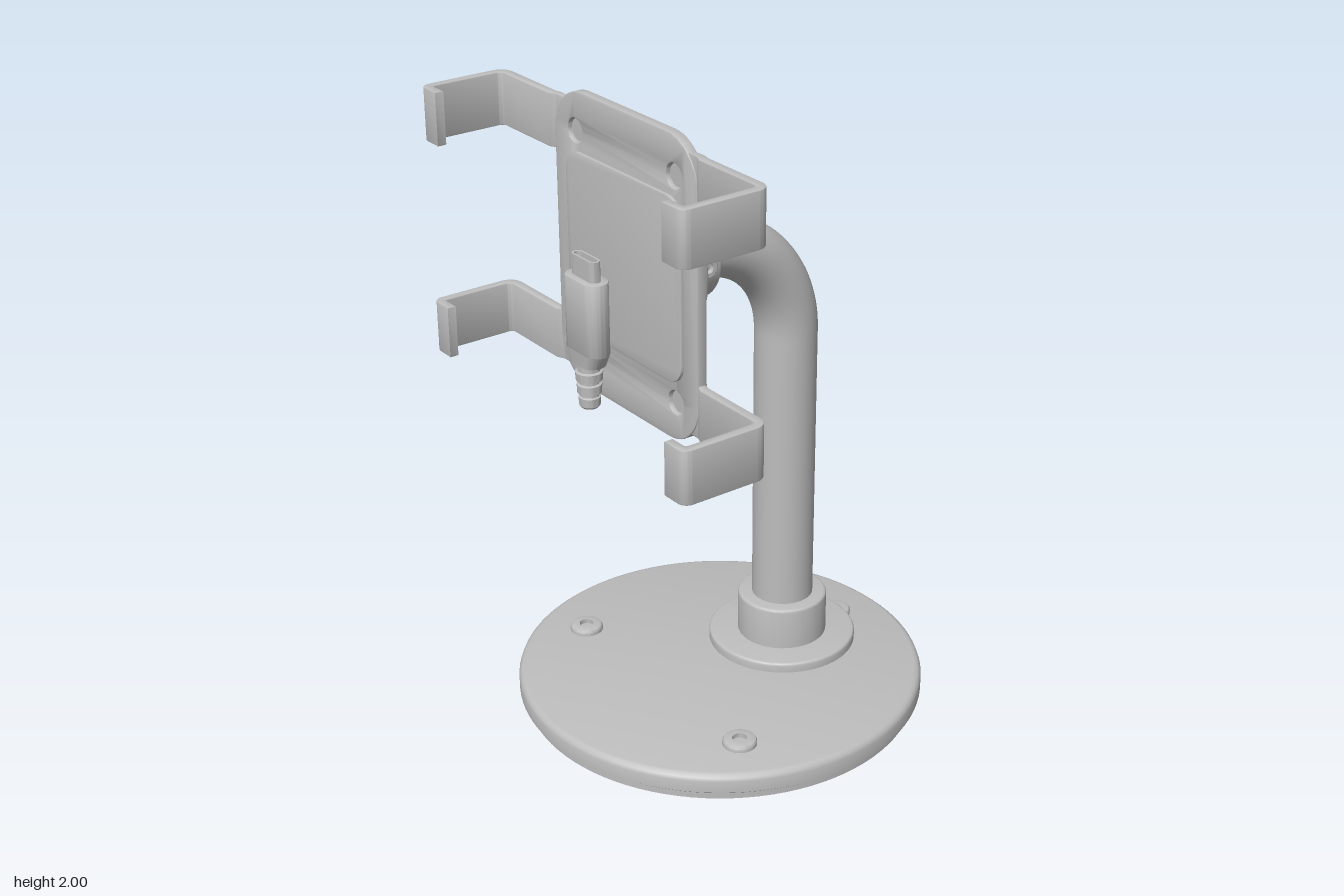
import * as THREE from 'three';
import { toCreasedNormals } from 'three/addons/utils/BufferGeometryUtils.js';

const grey = new THREE.MeshStandardMaterial({ color: 0xbdbdbd });
grey.name = 'satin grey';

const HEAD_Y = 1.54;   // height of the holder axis
const POLE_Z = -0.253; // pole stands behind the base centre

function part(name, geometry, parent, x = 0, y = 0, z = 0) {
  const mesh = new THREE.Mesh(toCreasedNormals(geometry, 0.55), grey);
  mesh.name = name;
  mesh.position.set(x, y, z);
  parent.add(mesh);
  return mesh;
}

// Turned solid from [radius, height] pairs, bottom to top
function turned(points, sides = 64) {
  return new THREE.LatheGeometry(points.map(([r, h]) => new THREE.Vector2(r, h)), sides);
}

// Disc with a rounded upper edge
function disc(r, h, e = 0.01, sides = 64) {
  const pts = [[0, 0], [r, 0]];
  for (let i = 0; i <= 4; i++) {
    const a = (i / 4) * Math.PI / 2;
    pts.push([r - e + e * Math.cos(a), h - e + e * Math.sin(a)]);
  }
  pts.push([0, h]);
  return turned(pts, sides);
}

// Screw head with a socket in its top
function screwHead(r, h) {
  return turned([[0, 0], [r, 0], [r, h * 0.55], [r * 0.93, h * 0.85], [r * 0.8, h],
    [r * 0.43, h], [r * 0.43, h * 0.3], [0, h * 0.3]], 32);
}

// Closed outline from [x, y, cornerRadius] points
function outline(points) {
  const shape = new THREE.Shape();
  const n = points.length;
  const toward = (p, q, d) => {
    const t = d / Math.hypot(q[0] - p[0], q[1] - p[1]);
    return [p[0] + (q[0] - p[0]) * t, p[1] + (q[1] - p[1]) * t];
  };
  points.forEach((p, i) => {
    const r = p[2] || 0;
    const a = r ? toward(p, points[(i + n - 1) % n], r) : p;
    if (i === 0) shape.moveTo(a[0], a[1]); else shape.lineTo(a[0], a[1]);
    if (r) {
      const b = toward(p, points[(i + 1) % n], r);
      // cubic close to a circular fillet
      const c1 = toward(a, p, r * 0.552), c2 = toward(b, p, r * 0.552);
      shape.bezierCurveTo(c1[0], c1[1], c2[0], c2[1], b[0], b[1]);
    }
  });
  shape.closePath();
  return shape;
}

function roundedRect(w, h, r) {
  return outline([[-w, -h, r], [w, -h, r], [w, h, r], [-w, h, r]]);
}

function extrude(shape, depth, bevel = 0) {
  const g = new THREE.ExtrudeGeometry(shape, {
    depth: depth - 2 * bevel, bevelEnabled: bevel > 0, bevelThickness: bevel,
    bevelSize: bevel, bevelOffset: -bevel, bevelSegments: 2, curveSegments: 12,
  });
  return g.translate(0, 0, bevel);
}

function buildBase(root) {
  const base = new THREE.Group();
  base.name = 'base';
  root.add(base);
  part('footPad', new THREE.CylinderGeometry(0.625, 0.625, 0.03, 96).translate(0, 0.015, 0), base);
  part('baseDisc', turned([[0, 0], [0.635, 0], [0.645, 0.008], [0.645, 0.046], [0.641, 0.057],
    [0.633, 0.064], [0.622, 0.067], [0, 0.067]], 96), base, 0, 0.027, 0);
  for (let i = 0; i < 3; i++) {
    const a = i * Math.PI * 2 / 3;
    part('baseScrew', screwHead(0.053, 0.021), base, Math.sin(a) * 0.477, 0.093, -Math.cos(a) * 0.477);
  }
  part('poleFlange', disc(0.237, 0.033), base, 0, 0.093, POLE_Z);
  part('poleCollar', disc(0.143, 0.145), base, 0, 0.12, POLE_Z);
}

function buildPole(root) {
  // Upright, quarter bend, short run forward
  const path = new THREE.CurvePath();
  const v = (y, z) => new THREE.Vector3(0, y, z);
  const bend = 0.35, k = bend * 0.5523, y0 = HEAD_Y - bend, z1 = POLE_Z + bend;
  path.add(new THREE.LineCurve3(v(0.15, POLE_Z), v(y0, POLE_Z)));
  path.add(new THREE.CubicBezierCurve3(v(y0, POLE_Z), v(y0 + k, POLE_Z), v(HEAD_Y, z1 - k), v(HEAD_Y, z1)));
  path.add(new THREE.LineCurve3(v(HEAD_Y, z1), v(HEAD_Y, 0.18)));
  part('bentPole', new THREE.TubeGeometry(path, 90, 0.098, 40), root);
}

function buildHolder(root) {
  const holder = new THREE.Group();
  holder.name = 'holder';
  holder.position.y = HEAD_Y;
  root.add(holder);

  // Mount behind the plate, turned to point backwards
  part('mountFlange', disc(0.237, 0.105, 0.02), holder, 0, 0, 0.315).rotation.x = -Math.PI / 2;
  part('mountCollar', disc(0.146, 0.12), holder, 0, 0, 0.22).rotation.x = -Math.PI / 2;
  part('setScrew', screwHead(0.036, 0.025), holder, 0.136, 0, 0.16).rotation.z = -Math.PI / 2;

  // Back plate with four screw holes
  const plate = roundedRect(0.345, 0.46, 0.14);
  const corners = [[-1, -1], [1, -1], [1, 1], [-1, 1]].map(([sx, sy]) => [sx * 0.24, sy * 0.34]);
  for (const [x, y] of corners) {
    plate.holes.push(new THREE.Path().absarc(x, y, 0.037, 0, Math.PI * 2, true));
  }
  part('backPlate', extrude(plate, 0.033, 0.004), holder, 0, 0, 0.306);
  part('raisedPad', extrude(roundedRect(0.28, 0.28, 0.065), 0.018, 0.004), holder, 0, 0.002, 0.331);
  for (const [x, y] of corners) {
    part('plateScrew', screwHead(0.057, 0.028), holder, x, y, 0.308).rotation.x = -Math.PI / 2;
    part('screwEnd', new THREE.CylinderGeometry(0.034, 0.034, 0.02, 24), holder, x, y, 0.316).rotation.x = Math.PI / 2;
  }

  // Hooked clamp arm, outlined from above and extruded upwards
  const arm = outline([[0.3, 0.312], [0.345, 0.312], [0.37, 0.317], [0.645, 0.317, 0.045],
    [0.645, 0.608, 0.03], [0.557, 0.608], [0.557, 0.58], [0.615, 0.58, 0.008],
    [0.615, 0.347, 0.015], [0.365, 0.347], [0.34, 0.335], [0.3, 0.335]]
    .map(([x, z, r]) => [x, -z, r]));
  const armGeometry = extrude(arm, 0.164, 0.003).translate(0, 0, -0.082).rotateX(-Math.PI / 2);
  for (const y of [-0.334, 0.341]) {
    part('leftClampArm', armGeometry, holder, 0, y, 0);
    part('rightClampArm', armGeometry, holder, 0, y, 0).rotation.z = Math.PI;
  }
}

function buildPlug(root) {
  const plug = new THREE.Group();
  plug.name = 'chargingPlug';
  plug.position.set(0, 0, 0.472);
  root.add(plug);
  const up = (g) => g.rotateX(-Math.PI / 2);

  // Capsule body, narrowing over its lowest stretch
  const body = up(extrude(roundedRect(0.08, 0.04, 0.0399), 0.225, 0.004));
  part('plugBody', body, plug, 0, 1.315, 0);
  const taper = up(new THREE.ExtrudeGeometry(roundedRect(0.08, 0.04, 0.0399), { depth: 0.044, bevelEnabled: false, curveSegments: 12 }));
  const p = taper.attributes.position;
  for (let i = 0; i < p.count; i++) {
    if (p.getY(i) < 0.02) p.setXYZ(i, p.getX(i) * 0.72, p.getY(i), p.getZ(i) * 0.9);
  }
  part('plugShoulder', taper, plug, 0, 1.275, 0);

  // Hollow metal tip with its tongue
  const tip = roundedRect(0.057, 0.018, 0.0179);
  tip.holes.push(roundedRect(0.05, 0.011, 0.0109));
  part('plugTip', up(extrude(tip, 0.065)), plug, 0, 1.537, 0);
  part('plugTongue', new THREE.BoxGeometry(0.08, 0.05, 0.008), plug, 0, 1.56, 0);

  // Ribbed strain relief
  part('strainRelief', turned([[0, 1.137], [0.026, 1.137], [0.031, 1.143], [0.033, 1.17], [0.028, 1.173],
    [0.028, 1.181], [0.036, 1.184], [0.037, 1.21], [0.03, 1.213], [0.03, 1.221],
    [0.039, 1.224], [0.041, 1.25], [0.033, 1.253], [0.033, 1.28], [0, 1.28]], 32), plug);
}

export function createModel() {
  const root = new THREE.Group();
  root.name = 'deviceStand';
  buildBase(root);
  buildPole(root);
  buildHolder(root);
  buildPlug(root);
  return root;
}
